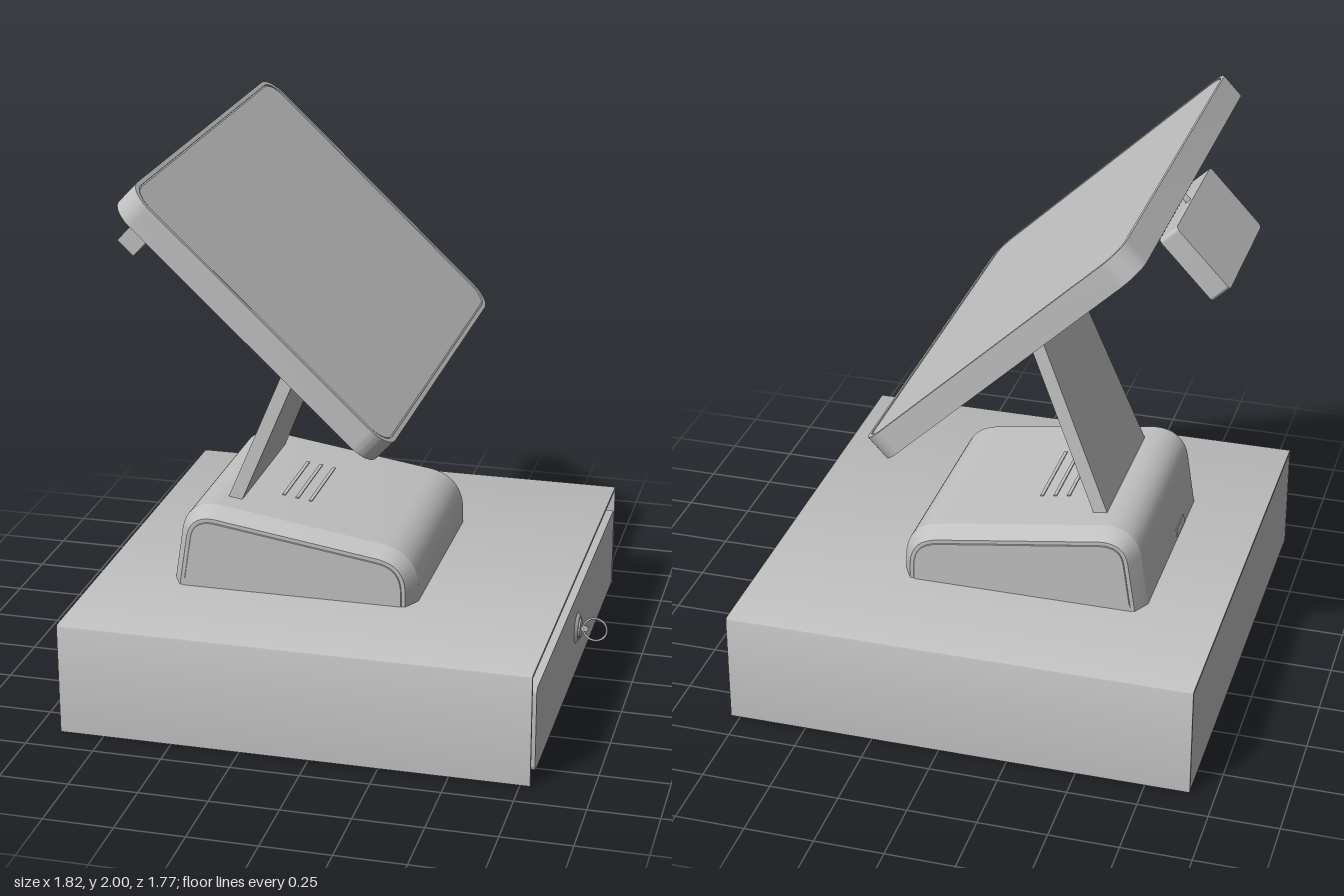
import * as THREE from 'three';
import { toCreasedNormals } from 'three/addons/utils/BufferGeometryUtils.js';

const grey = new THREE.MeshStandardMaterial({ color: 0xc0c0c0 });
grey.name = 'plain grey';

function add(parent, name, geo, x = 0, y = 0, z = 0) {
  const m = new THREE.Mesh(geo, grey);
  m.name = name;
  m.position.set(x, y, z);
  parent.add(m);
  return m;
}

const box = (w, h, d) => new THREE.BoxGeometry(w, h, d);

// rounded rectangle outline centred on the origin
function roundRect(w, h, r, P = THREE.Shape) {
  const s = new P(), a = w / 2, b = h / 2;
  s.moveTo(-a + r, -b);
  s.lineTo(a - r, -b); s.absarc(a - r, -b + r, r, -Math.PI / 2, 0);
  s.lineTo(a, b - r); s.absarc(a - r, b - r, r, 0, Math.PI / 2);
  s.lineTo(-a + r, b); s.absarc(-a + r, b - r, r, Math.PI / 2, Math.PI);
  s.lineTo(-a, -b + r); s.absarc(-a + r, -b + r, r, Math.PI, Math.PI * 1.5);
  return s;
}

function extrude(shape, depth, opts = {}) {
  const g = new THREE.ExtrudeGeometry(shape, { depth, bevelEnabled: false, curveSegments: 10, ...opts });
  return toCreasedNormals(g, 0.5);
}

// flat slab lying in x-z, from y = 0 up to y = h
const slab = (shape, h) => extrude(shape, h).rotateX(-Math.PI / 2);
// outline drawn in (-z, y), extruded along +x
const alongX = (shape, len) => extrude(shape, len).rotateY(Math.PI / 2);

function cashDrawer(root) {
  const g = new THREE.Group();
  g.name = 'cashDrawer';
  root.add(g);
  // folded cover: top and two sides
  const W = 0.885, H = 0.415, t = 0.012, r = 0.015;
  const s = new THREE.Shape();
  s.moveTo(-W, 0); s.lineTo(-W, H - r); s.quadraticCurveTo(-W, H, -W + r, H);
  s.lineTo(W - r, H); s.quadraticCurveTo(W, H, W, H - r); s.lineTo(W, 0);
  s.lineTo(W - t, 0); s.lineTo(W - t, H - t); s.lineTo(-W + t, H - t); s.lineTo(-W + t, 0);
  add(g, 'drawerCover', alongX(s, 1.695), -0.91, 0, 0);
  add(g, 'drawerBackWall', box(0.012, 0.4, 1.75), -0.903, 0.2, 0);
  add(g, 'drawerBody', box(1.64, 0.375, 1.745), -0.075, 0.2175, 0);
  add(g, 'drawerBottomPan', slab(roundRect(1.56, 1.66, 0.06), 0.02), -0.08, 0.018, 0);
  add(g, 'drawerFrontPanel', alongX(roundRect(1.65, 0.315, 0.02), 0.05), 0.74, 0.1825, 0);

  // lock with its key
  const lock = new THREE.Group();
  lock.name = 'lock';
  lock.position.set(0.79, 0.203, 0.012);
  g.add(lock);
  const disc = (r1, r2, h) => new THREE.CylinderGeometry(r1, r2, h, 32).rotateZ(-Math.PI / 2);
  add(lock, 'lockCollar', disc(0.045, 0.06, 0.012), 0.005);
  add(lock, 'lockBarrel', disc(0.036, 0.036, 0.012), 0.011);
  add(lock, 'keyBlade', box(0.04, 0.022, 0.006), 0.022);
  add(lock, 'keyBow', new THREE.TorusGeometry(0.044, 0.004, 8, 32), 0.068);
}

function standBase(root) {
  const g = new THREE.Group();
  g.name = 'standBase';
  root.add(g);
  // wedge profile with rounded shoulders; its foot sinks into the cover
  const s = new THREE.Shape();
  s.moveTo(-0.637, 0.365);
  s.lineTo(0.275, 0.365);
  s.lineTo(0.275, 0.46);
  s.bezierCurveTo(0.275, 0.55, 0.235, 0.605, 0.15, 0.622);
  s.lineTo(-0.46, 0.714);
  s.bezierCurveTo(-0.53, 0.722, -0.59, 0.69, -0.602, 0.61);
  s.lineTo(-0.637, 0.385);
  add(g, 'baseHousing', extrude(s, 0.76, {
    bevelEnabled: true, bevelSegments: 1, bevelThickness: 0.062, bevelSize: 0.034, bevelOffset: -0.034,
  }), 0, 0, -0.38);
  add(g, 'baseSidePanels', extrude(s, 0.888, {
    bevelEnabled: true, bevelSegments: 1, bevelThickness: 0.002, bevelSize: 0.002, bevelOffset: -0.05,
  }), 0, 0, -0.444);
  // vent strips on the sloping top
  for (let i = 0; i < 3; i++) {
    const x = -0.28 + i * 0.05;
    add(g, 'ventStrip', box(0.012, 0.006, 0.34), x, 0.688 - (x + 0.28) * 0.151, 0).rotation.z = -0.15;
  }
  add(g, 'cableOutlet', box(0.008, 0.035, 0.12), -0.628, 0.437, 0.15).rotation.z = -0.154;
}

function neck(root) {
  // tapered plate leaning forward
  const s = new THREE.Shape();
  const len = 0.76;
  s.moveTo(-0.293, 0); s.lineTo(0.293, 0); s.lineTo(0.236, len); s.lineTo(-0.236, len);
  const m = add(root, 'neck', alongX(s, 0.05), -0.467, 0.68, 0);
  m.rotation.z = -0.39;
  const hinge = new THREE.CylinderGeometry(0.022, 0.022, 0.36, 20).rotateX(Math.PI / 2);
  add(root, 'neckHinge', hinge, -0.16, 1.39, 0);
}

function screen(root) {
  // local x runs down the screen, local y is its outward normal
  const g = new THREE.Group();
  g.name = 'screen';
  g.position.set(-0.1675, 1.5825, 0);
  g.rotation.z = -0.756;
  root.add(g);
  const L = 1.217, D = 1.662;
  add(g, 'screenHousing', slab(roundRect(L, D, 0.09), 0.09), 0, -0.096, 0);
  const rim = roundRect(L, D, 0.09);
  rim.holes.push(roundRect(L - 0.032, D - 0.032, 0.075, THREE.Path));
  add(g, 'screenRim', slab(rim, 0.007), 0, -0.007, 0);
  add(g, 'screenGlass', slab(roundRect(L - 0.042, D - 0.042, 0.07), 0.006), 0, -0.008, 0);
  // mounting plate and hinge bracket at the back
  add(g, 'mountPlate', slab(roundRect(0.346, 0.4, 0.02), 0.02), 0, -0.115, 0);
  add(g, 'hingeBracket', box(0.09, 0.02, 0.36), 0.13, -0.122, 0);
  for (const z of [-0.12, 0.12]) add(g, 'hingeLug', box(0.04, 0.045, 0.06), 0.14, -0.14, z);

  // customer display hanging behind the upper edge
  const c = new THREE.Group();
  c.name = 'customerDisplay';
  g.add(c);
  add(c, 'displayBox', alongX(roundRect(0.54, 0.28, 0.015), 0.08), -0.544, -0.293, 0);
  add(c, 'displayRod', new THREE.CylinderGeometry(0.011, 0.011, 0.07, 16), -0.518, -0.125, 0);
  add(c, 'displayBallJoint', new THREE.SphereGeometry(0.026, 20, 12), -0.518, -0.098, 0);
}

export function createModel() {
  const root = new THREE.Group();
  root.name = 'pointOfSaleTerminal';
  cashDrawer(root);
  standBase(root);
  neck(root);
  screen(root);
  return root;
}
